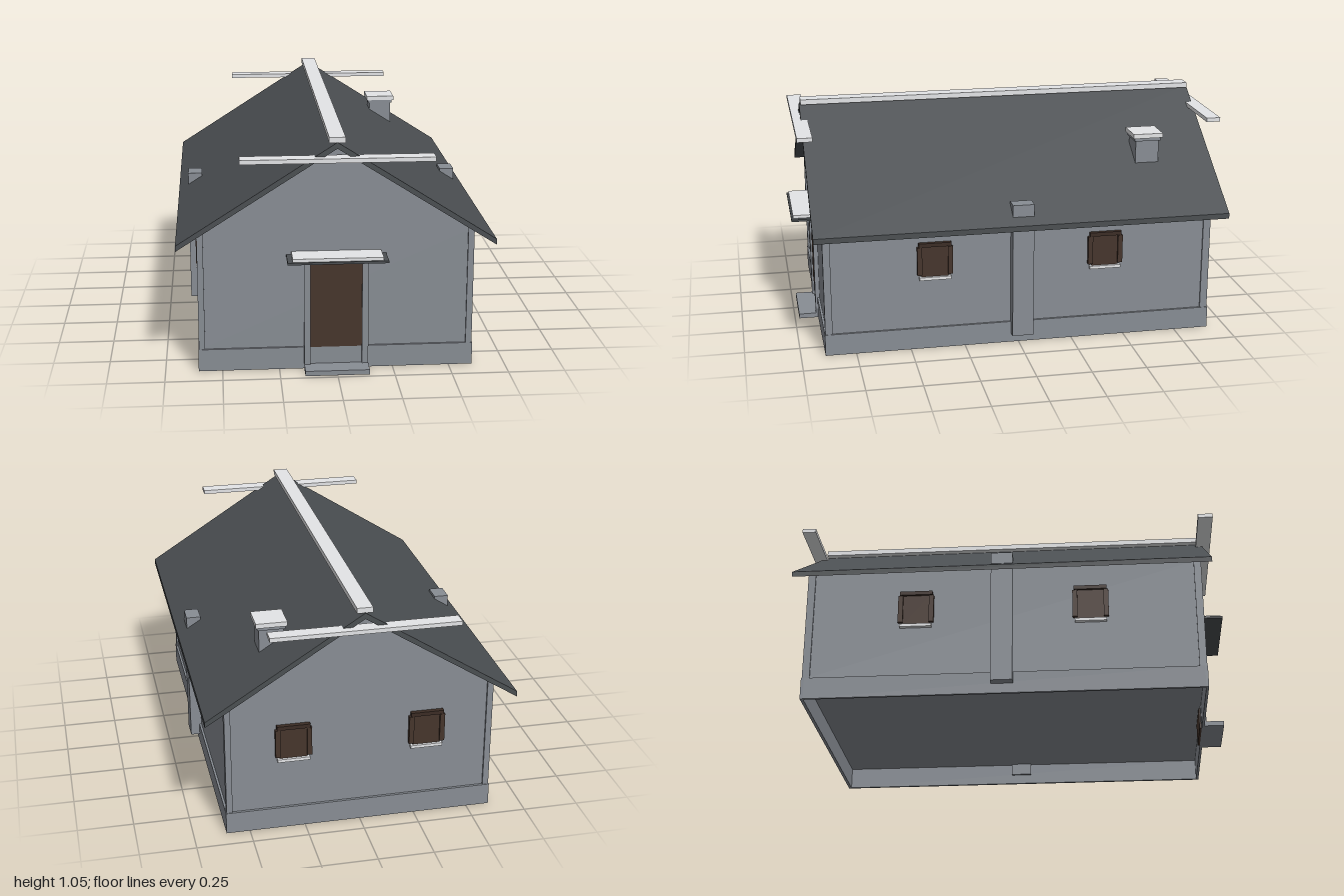
import * as THREE from 'three';

const paint = (name, color) => {
  const m = new THREE.MeshStandardMaterial({ color });
  m.name = name;
  return m;
};

export function createModel() {
  const house = new THREE.Group();
  house.name = 'house';
  const wall = paint('wallGrey', 0x888d94);
  const slate = paint('roofSlate', 0x4b4f52);
  const trim = paint('paleTrim', 0xe4e5e7);
  const wood = paint('brownWood', 0x46352c);
  const darkWood = paint('darkWood', 0x3b2c25);

  // Box given by its lower and upper limits on each axis
  const box = (name, mat, [x0, x1], [y0, y1], [z0, z1], parent = house) => {
    const mesh = new THREE.Mesh(new THREE.BoxGeometry(x1 - x0, y1 - y0, z1 - z0), mat);
    mesh.position.set((x0 + x1) / 2, (y0 + y1) / 2, (z0 + z1) / 2);
    mesh.name = name;
    parent.add(mesh);
  };
  // Outline in x and y, extruded from z0 to z1
  const prism = (name, mat, points, z0, z1) => {
    const shape = new THREE.Shape(points.map(([x, y]) => new THREE.Vector2(x, y)));
    const geo = new THREE.ExtrudeGeometry(shape, { depth: z1 - z0, bevelEnabled: false });
    geo.translate(0, 0, z0);
    const mesh = new THREE.Mesh(geo, mat);
    mesh.name = name;
    house.add(mesh);
  };

  // Gabled body, closed underneath, on a hollow plinth
  prism('walls', wall, [[-0.595, 0.1], [0.595, 0.1], [0.595, 0.63], [0, 1.01], [-0.595, 0.63]], -0.9, 0.88);
  box('frontPlinth', wall, [-0.605, 0.605], [0, 0.1], [0.878, 0.89]);
  box('backPlinth', wall, [-0.605, 0.605], [0, 0.1], [-0.912, -0.898]);

  for (const s of [-1, 1]) {
    const span = (a, b) => (s > 0 ? [a, b] : [-b, -a]);
    box('sidePlinth', wall, span(0.593, 0.605), [0, 0.1], [-0.898, 0.878]);
    // Corner pilasters
    box('frontPilaster', wall, span(0.575, 0.602), [0.1, 0.632], [0.855, 0.888]);
    box('backPilaster', wall, span(0.575, 0.602), [0.1, 0.632], [-0.909, -0.875]);
    // Flue shaft rising through the eave
    box('sideFlue', wall, span(0.58, 0.647), [0.045, 0.675], [-0.062, 0.036]);
    // Door jambs
    box('doorJamb', wall, span(0.113, 0.141), [0.02, 0.485], [0.875, 0.9]);
  }

  // Roof slab with ridge cap and a board across each gable
  prism('roof', slate, [[-0.692, 0.566], [0, 1.005], [0.692, 0.566], [0.692, 0.591], [0, 1.032], [-0.692, 0.591]], -0.965, 0.932);
  box('ridgeCap', trim, [-0.035, 0.035], [1.029, 1.053], [-0.957, 0.927]);
  box('frontGableBoard', trim, [-0.415, 0.415], [0.952, 0.971], [0.9, 0.97]);
  box('backGableBoard', trim, [-0.415, 0.415], [0.952, 0.971], [-1, -0.935]);

  // Chimney
  box('chimneyStack', wall, [0.3, 0.41], [0.74, 0.876], [-0.705, -0.595]);
  box('chimneyCollar', wall, [0.293, 0.417], [0.876, 0.891], [-0.712, -0.588]);
  box('chimneyCap', trim, [0.285, 0.425], [0.891, 0.912], [-0.72, -0.58]);

  // Entrance
  box('door', wood, [-0.113, 0.113], [0.1, 0.485], [0.87, 0.892]);
  box('doorFoot', wood, [-0.113, 0.113], [0.0, 0.1], [0.868, 0.878]);
  box('doorLintel', darkWood, [-0.147, 0.147], [0.485, 0.516], [0.875, 0.903]);
  box('doorCanopy', slate, [-0.217, 0.217], [0.516, 0.526], [0.875, 1]);
  box('canopyTop', trim, [-0.195, 0.195], [0.526, 0.54], [0.88, 0.992]);
  box('doorStep', wall, [-0.141, 0.141], [0, 0.022], [0.885, 0.98]);

  // Window built facing +z around its wall point
  const addWindow = (x, z, turn) => {
    const w = new THREE.Group();
    w.name = 'window';
    box('pane', wood, [-0.062, 0.062], [0.346, 0.496], [-0.005, 0.006], w);
    for (const s of [-1, 1]) {
      box('shutter', wood, [s * 0.07 - 0.011, s * 0.07 + 0.011], [0.358, 0.49], [-0.005, 0.016], w);
    }
    box('lintel', darkWood, [-0.074, 0.074], [0.492, 0.51], [-0.005, 0.018], w);
    box('sill', trim, [-0.072, 0.072], [0.334, 0.348], [-0.005, 0.018], w);
    w.position.set(x, 0, z);
    w.rotation.y = turn;
    house.add(w);
  };
  for (const s of [-1, 1]) {
    for (const z of [0.385, -0.405]) addWindow(s * 0.596, z, s * Math.PI / 2);
    addWindow(s * 0.3, -0.903, Math.PI);
  }
  return house;
}
